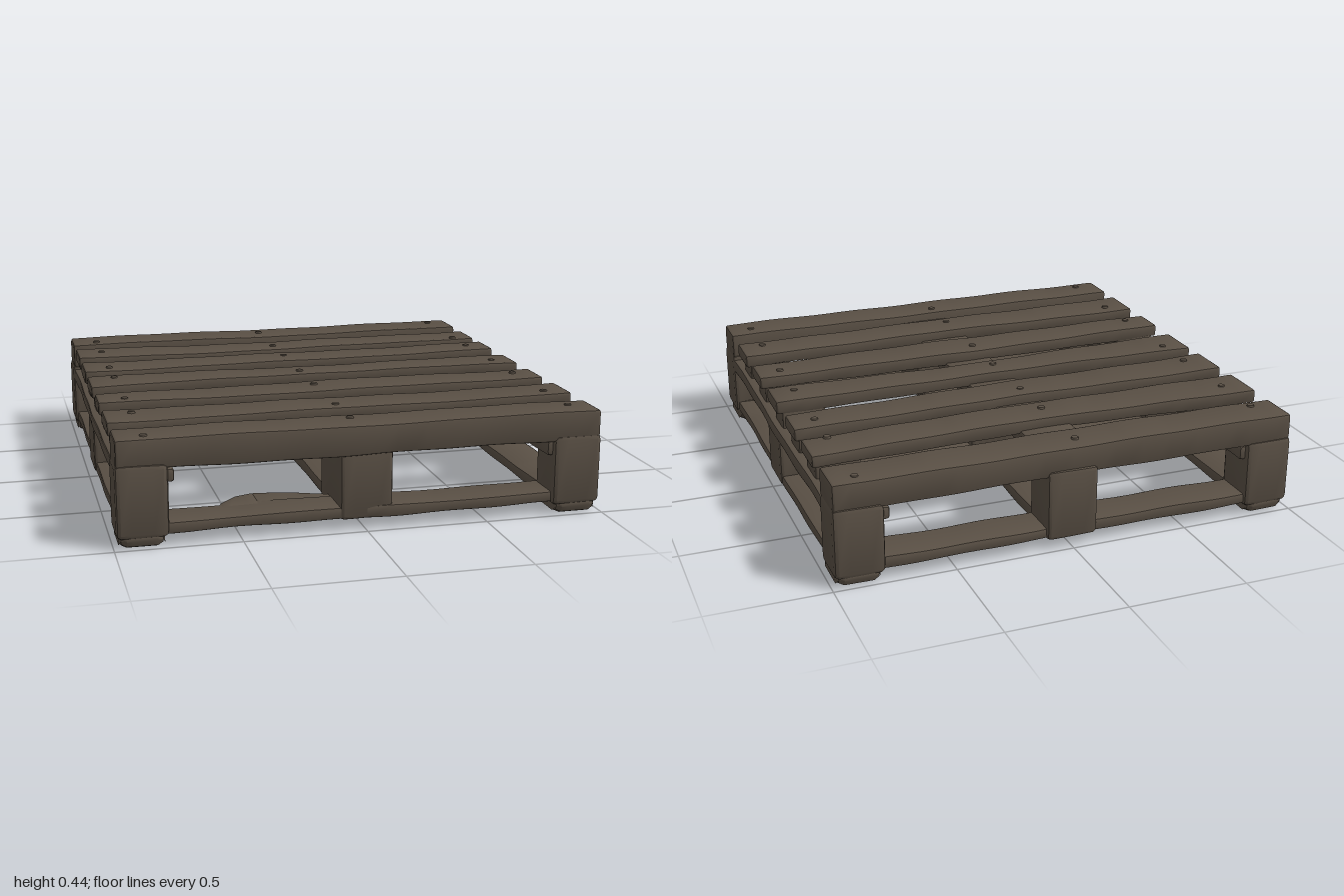
import * as THREE from 'three';
import { toCreasedNormals } from 'three/addons/utils/BufferGeometryUtils.js';

const wood = new THREE.MeshStandardMaterial({ color: 0x5a5045 });
wood.name = 'weathered wood';

// Repeatable wobble for worn edges
const wobble = (t, seed) =>
  0.6 * Math.sin(t * 5.3 + seed * 2.1) + 0.4 * Math.sin(t * 14.7 + seed * 4.7);

// Interpolate values given at the start, middle and end of a board
const bend = (v, t) => (t < 0.5 ? v[0] + (v[1] - v[0]) * t * 2 : v[1] + (v[2] - v[1]) * (t - 0.5) * 2);

// A worn timber: a bevelled cross-section lofted along x, or along z when alongZ is set.
// lo and hi are the two long edges, each a number or [start, middle, end].
function timber(name, [a0, a1], [y0, y1], lo, hi, opts = {}) {
  const { alongZ = false, wear = 0.004, bevel = 0.01, seed = 1, warp = 0.003 } = opts;
  const low = Array.isArray(lo) ? lo : [lo, lo, lo];
  const high = Array.isArray(hi) ? hi : [hi, hi, hi];
  const n = Math.max(4, Math.round((a1 - a0) * 16));
  // Stations along the timber, with inset rings that round off both ends
  const stations = [[a0, bevel], [a0 + bevel * 0.3, bevel * 0.3]];
  for (let i = 0; i <= n; i++) stations.push([a0 + bevel + ((a1 - a0 - 2 * bevel) * i) / n, 0]);
  stations.push([a1 - bevel * 0.3, bevel * 0.3], [a1, bevel]);

  const pos = [], index = [], ring = 12;
  const put = (a, c, y) => (alongZ ? pos.push(c, y, a) : pos.push(a, y, c));
  const tri = (a, b, c) => (alongZ ? index.push(a, c, b) : index.push(a, b, c));
  for (const [a, inset] of stations) {
    const t = (a - a0) / (a1 - a0);
    const c0 = bend(low, t) + wear * wobble(a, seed) + inset;
    const c1 = bend(high, t) + wear * wobble(a, seed + 3) - inset;
    const b0 = y0 + warp * wobble(a, seed + 5) + inset;
    const b1 = y1 + warp * wobble(a, seed + 7) - inset;
    for (let j = 0; j < ring; j++) {
      const corner = Math.floor(j / 3), angle = (corner + (j % 3) / 2) * Math.PI / 2;
      const c = corner === 0 || corner === 3 ? c1 - bevel : c0 + bevel;
      const y = corner < 2 ? b1 - bevel : b0 + bevel;
      put(a, c + bevel * Math.cos(angle), y + bevel * Math.sin(angle));
    }
  }
  const last = stations.length - 1;
  for (let i = 0; i < last; i++) {
    for (let j = 0; j < ring; j++) {
      const p = i * ring + j, q = i * ring + ((j + 1) % ring);
      tri(p, p + ring, q + ring);
      tri(p, q + ring, q);
    }
  }
  // End grain
  for (let j = 1; j < ring - 1; j++) {
    tri(0, j, j + 1);
    tri(last * ring, last * ring + j + 1, last * ring + j);
  }
  const geo = new THREE.BufferGeometry();
  geo.setAttribute('position', new THREE.Float32BufferAttribute(pos, 3));
  geo.setIndex(index);
  const mesh = new THREE.Mesh(toCreasedNormals(geo, 0.6), wood);
  mesh.name = name;
  return mesh;
}

export function createModel() {
  const pallet = new THREE.Group();
  pallet.name = 'pallet';
  const add = (...args) => pallet.add(timber(...args));

  // Deck slats: back edge, front edge (each at right end, middle, left end) and underside
  const slats = [
    [[-0.985, -0.98, -0.985], [-0.80, -0.79, -0.80], 0.32],
    [[-0.70, -0.655, -0.69], [-0.49, -0.475, -0.51], 0.38],
    [[-0.40, -0.39, -0.41], [-0.20, -0.21, -0.24], 0.38],
    [[-0.11, -0.09, -0.10], [0.10, 0.06, 0.08], 0.38],
    [[0.23, 0.205, 0.21], [0.39, 0.40, 0.38], 0.38],
    [[0.50, 0.52, 0.505], [0.71, 0.70, 0.69], 0.38],
    [[0.81, 0.805, 0.81], [0.985, 0.99, 0.985], 0.315],
  ];
  const nail = new THREE.CylinderGeometry(0.014, 0.018, 0.014, 10);
  slats.forEach(([back, front, bottom], i) => {
    add('deckSlat', [-0.985, 0.985], [bottom, 0.437], back, front, { seed: i + 1 });
    const z = (back[1] + front[1]) / 2;
    for (const x of [-0.87, -0.04, 0.88]) {
      const head = new THREE.Mesh(nail, wood);
      head.name = 'nailHead';
      head.position.set(x, 0.436, z + 0.04 * Math.sin(i * 3 + x * 5));
      pallet.add(head);
    }
    // Spacers between the slats and the side stringers
    if (bottom > 0.35) {
      for (const s of [-1, 1]) {
        const x0 = s > 0 ? 0.77 : -0.96, x1 = s > 0 ? 0.96 : -0.77;
        add('spacer', [x0, x1], [0.3, 0.39], z - 0.075, z + 0.065, { seed: i, warp: 0 });
      }
    }
  });

  // Centre stringer under the slats
  add('centreStringer', [-0.9, 0.9], [0.335, 0.395], [-0.135, -0.11, -0.1], [0.1, 0.11, 0.15],
    { alongZ: true, seed: 4 });

  // Short battens crossing the centre stringer
  add('batten', [-0.3, 0.3], [0.32, 0.38], 0.38, 0.475, { seed: 2 });
  add('batten', [-0.22, 0.23], [0.32, 0.38], -0.28, -0.19, { seed: 6 });

  for (const s of [-1, 1]) {
    const span = (a, b) => (s > 0 ? [a, b] : [-b, -a]);
    // Side stringers, each made of two boards
    for (const [a, b] of [[0.76, 0.894], [0.898, 0.985]]) {
      add('sideStringer', [-0.97, 0.97], [0.255, 0.312], ...span(a, b), { alongZ: true, seed: 3 + s });
    }
    // Bottom side boards
    add('bottomSideBoard', [-0.97, 0.97], [0.05, 0.095], ...span(0.79, 0.975), { alongZ: true, seed: 6 + s });
    // Bottom front and back boards
    add('bottomEndBoard', [-0.96, 0.96], [0.052, 0.1], ...span(0.805, 0.975), { seed: 8 + s, wear: 0.008 });
    // Middle block on each side
    add('sideMiddleBlock', span(0.77, 0.985), [0.05, 0.3], -0.105, 0.105, { seed: 5 + s, bevel: 0.015 });
    // Corner blocks with worn feet
    for (const t of [-1, 1]) {
      const [z0, z1] = t > 0 ? [0.805, 0.995] : [-0.995, -0.805];
      add('cornerBlock', span(0.785, 0.99), [0.045, 0.335], z0, z1, { seed: 2 * s + t, bevel: 0.018 });
      add('cornerFoot', span(0.8, 0.98), [0.004, 0.075], t > 0 ? 0.775 : -0.985, t > 0 ? 0.985 : -0.775,
        { seed: s + t, bevel: 0.03, warp: 0 });
    }
  }

  // Middle blocks under the centre stringer
  add('frontMiddleBlock', [-0.105, 0.11], [0.05, 0.345], 0.65, 0.975, { seed: 3, bevel: 0.015 });
  add('centreBlock', [-0.105, 0.105], [0.05, 0.345], -0.105, 0.105, { seed: 7, bevel: 0.015 });
  add('backMiddleBlock', [-0.105, 0.11], [0.05, 0.345], -0.99, -0.8, { seed: 9, bevel: 0.015 });

  // Crossed bottom boards
  add('bottomCrossBoard', [-0.95, 0.95], [0.05, 0.095], -0.095, 0.095, { seed: 5 });
  add('bottomCentreBoard', [-0.95, 0.95], [0.052, 0.1], -0.095, 0.095, { alongZ: true, seed: 2 });

  // Splintered pieces on the inner edge of the bottom front board
  add('splinteredEdge', [-0.56, -0.4], [0.055, 0.098], [0.8, 0.72, 0.69], 0.84, { seed: 4 });
  add('splinteredEdge', [-0.41, -0.09], [0.055, 0.098], [0.69, 0.705, 0.77], 0.84, { seed: 4 });

  // Worn studs beneath the middle of each edge
  const stud = new THREE.SphereGeometry(0.035, 14, 8);
  for (const [x, z] of [[-0.02, 0.9], [-0.02, -0.9], [0.88, -0.01], [-0.88, -0.01]]) {
    const mesh = new THREE.Mesh(stud, wood);
    mesh.name = 'underStud';
    mesh.scale.y = 0.6;
    mesh.position.set(x, 0.05, z);
    pallet.add(mesh);
  }
  return pallet;
}
